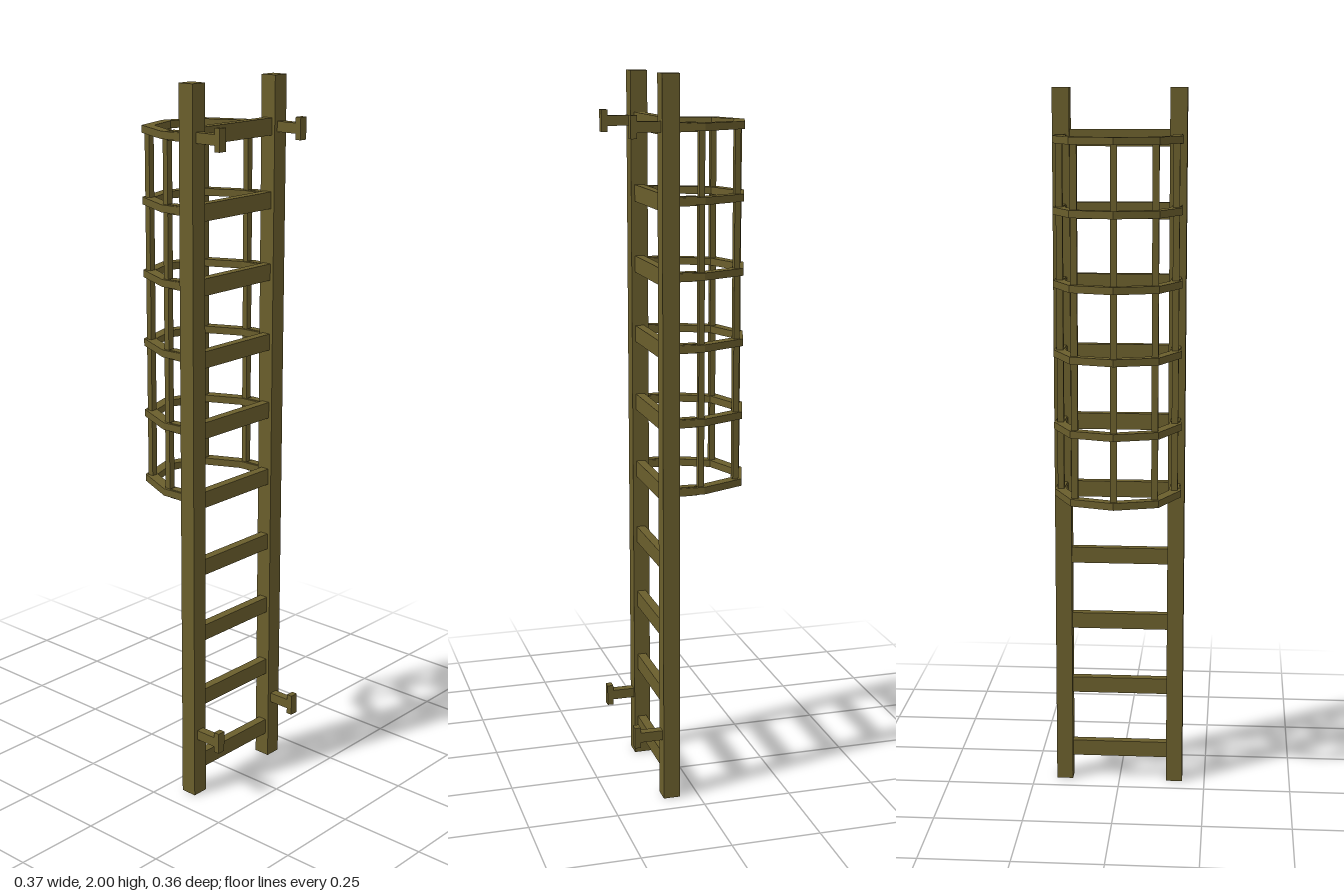
import * as THREE from 'three';

export function createModel() {
  const model = new THREE.Group();
  model.name = 'cagedLadder';
  const olive = new THREE.MeshStandardMaterial({ color: 0x6a5e2c });
  olive.name = 'olive paint';

  const box = (name, w, h, d, x, y, z, parent = model) => {
    const mesh = new THREE.Mesh(new THREE.BoxGeometry(w, h, d), olive);
    mesh.name = name;
    mesh.position.set(x, y, z);
    parent.add(mesh);
    return mesh;
  };

  // Rungs
  for (let i = 0; i < 10; i++) box('rung', 0.28, 0.046, 0.025, 0, 0.092 + i * 0.197, 0.0775);

  // Side rails with wall brackets
  for (const side of [-1, 1]) {
    box(side > 0 ? 'leftRail' : 'rightRail', 0.047, 2, 0.047, side * 0.161, 1, 0.0765);
    for (const y of [0.187, 1.865]) {
      const bracket = new THREE.Group();
      bracket.name = 'wallBracket';
      box('bracketArm', 0.024, 0.028, 0.07, side * 0.16, y, 0.13, bracket);
      box('bracketPlate', 0.024, 0.06, 0.017, side * 0.16, y, 0.1715, bracket);
      model.add(bracket);
    }
  }

  // Safety hoop outline, as [x, z] on one side
  const outer = [[0.173, 0.056], [0.177, -0.018], [0.12, -0.143], [0, -0.182]];
  const inner = [[0, -0.152], [0.097, -0.118], [0.143, -0.02], [0.146, 0.056]];
  const mirror = (pts) => pts.map(([x, z]) => [-x, z]).reverse();
  const outline = [...outer, ...mirror(outer).slice(1), ...mirror(inner), ...inner.slice(1)];
  const hoopShape = new THREE.Shape(outline.map(([x, z]) => new THREE.Vector2(x, -z)));
  const hoopGeometry = new THREE.ExtrudeGeometry(hoopShape, { depth: 0.02, bevelEnabled: false });
  hoopGeometry.rotateX(-Math.PI / 2).translate(0, -0.01, 0);

  // Hoops with thicker end lugs at the rails
  for (const y of [0.89, 1.08, 1.283, 1.475, 1.673, 1.863]) {
    const hoop = new THREE.Mesh(hoopGeometry, olive);
    hoop.name = 'safetyHoop';
    hoop.position.y = y;
    model.add(hoop);
    for (const side of [-1, 1]) box('hoopLug', 0.024, 0.025, 0.054, side * 0.16, y, 0.028);
  }

  // Vertical cage bars
  const bars = [[0, -0.164], [0.109, -0.126], [-0.109, -0.126], [0.159, -0.012], [-0.159, -0.012]];
  for (const [x, z] of bars) box('cageBar', 0.018, 0.975, 0.016, x, 1.377, z);

  return model;
}
